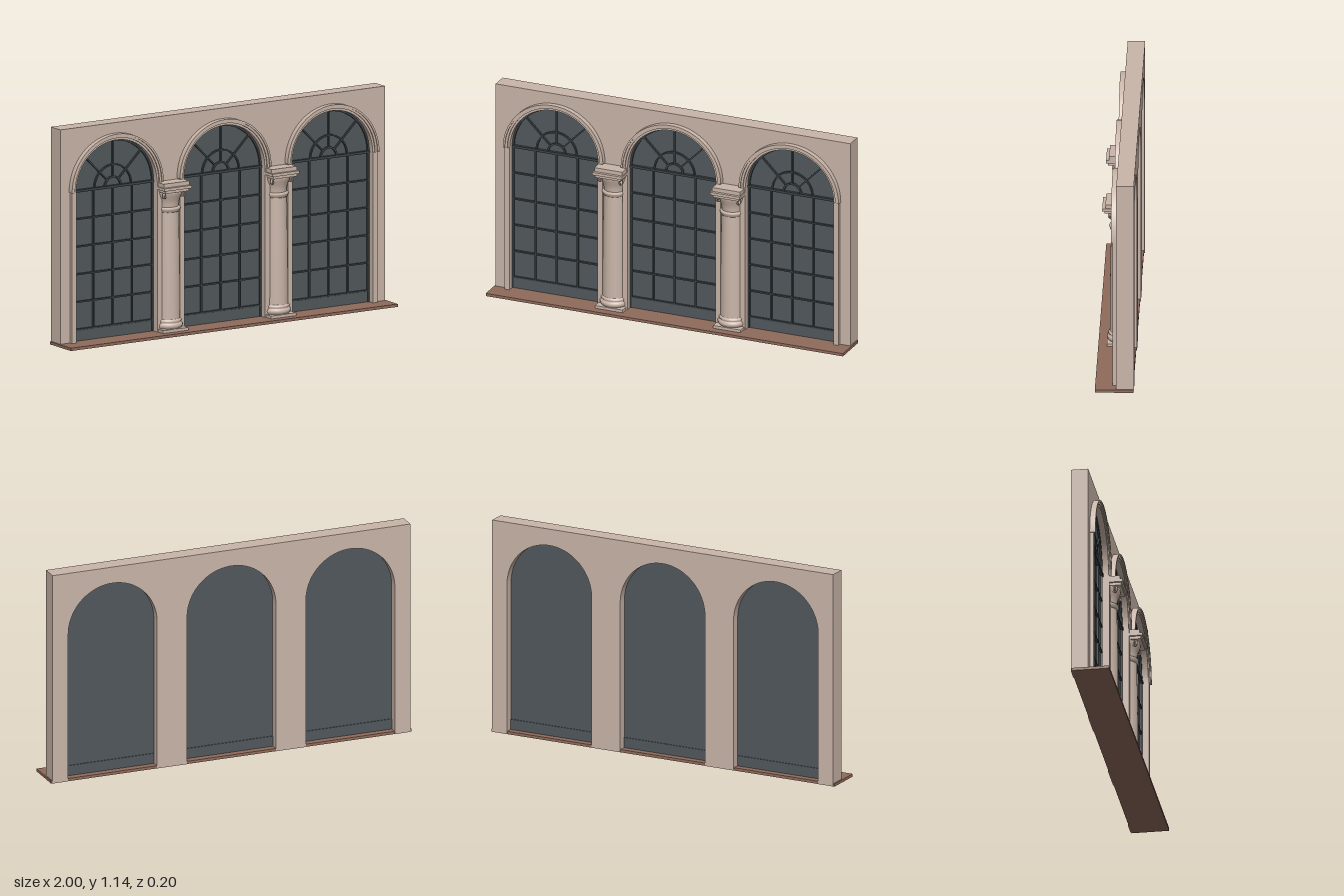
import * as THREE from 'three';
import { mergeGeometries } from 'three/addons/utils/BufferGeometryUtils.js';

const mat = (name, color) => new THREE.MeshStandardMaterial({ name, color });

// Dimensions shared by the parts
const BAYS = [-0.66, 0, 0.66];
const R = 0.247;        // opening half width and arch radius
const SPRING = 0.805;   // height where the arches begin
const FLOOR = 0.015;

function box(x0, x1, y0, y1, z0, z1) {
  return new THREE.BoxGeometry(x1 - x0, y1 - y0, z1 - z0)
    .translate((x0 + x1) / 2, (y0 + y1) / 2, (z0 + z1) / 2);
}

function extrude(shape, z0, z1) {
  return new THREE.ExtrudeGeometry(shape, { depth: z1 - z0, bevelEnabled: false, curveSegments: 32 })
    .translate(0, 0, z0);
}

// Half ring standing on the springing line
function halfRing(r0, r1, z0, z1) {
  const s = new THREE.Shape();
  s.absarc(0, 0, r1, 0, Math.PI, false);
  s.absarc(0, 0, r0, Math.PI, 0, true);
  return extrude(s, z0, z1).translate(0, SPRING, 0);
}

// Merge pieces of different kinds into one mesh
function part(name, geometries, material) {
  const plain = geometries.map(g => (g.index ? g.toNonIndexed() : g));
  const mesh = new THREE.Mesh(mergeGeometries(plain), material);
  mesh.name = name;
  return mesh;
}

// Wall outline with three arched doorways cut from the bottom
function wallGeometry() {
  const s = new THREE.Shape();
  s.moveTo(-0.993, 0.001);
  for (const x of BAYS) {
    s.lineTo(x - R, 0.001);
    s.lineTo(x - R, SPRING);
    s.absarc(x, SPRING, R, Math.PI, 0, true);
    s.lineTo(x + R, 0.001);
  }
  s.lineTo(0.993, 0.001);
  s.lineTo(0.993, 1.14);
  s.lineTo(-0.993, 1.14);
  s.closePath();
  return extrude(s, -0.1, -0.01);
}

function makeWindow(stone, glass, bars) {
  const g = new THREE.Group();
  g.name = 'archedWindow';

  // Glass pane and bottom panel
  const pane = new THREE.Shape();
  pane.moveTo(-R, FLOOR);
  pane.lineTo(R, FLOOR);
  pane.lineTo(R, SPRING);
  pane.absarc(0, SPRING, R, 0, Math.PI, false);
  pane.closePath();
  g.add(part('glass', [extrude(pane, -0.055, -0.035)], glass));
  g.add(part('bottomPanel', [box(-R, R, FLOOR, 0.07, -0.059, -0.028)], glass));

  // Glazing bars
  const grid = [];
  const w = 0.004, z0 = -0.036, z1 = -0.025;
  for (const x of [-0.118, 0, 0.118]) grid.push(box(x - w, x + w, 0.07, SPRING, z0, z1));
  for (let i = 0; i < 5; i++) {
    const y = 0.075 + i * 0.145;
    grid.push(box(-R, R, y - w, y + w, z0, z1));
  }
  for (const s of [-1, 1]) grid.push(box(s * (R - 0.005) - 0.005, s * (R - 0.005) + 0.005, FLOOR, SPRING, z0, z1));
  grid.push(box(-R, R, SPRING - 0.009, SPRING + 0.004, z0, -0.02));
  g.add(part('glazingBars', grid, bars));

  // Fanlight rings and spokes
  const fan = [halfRing(0.043, 0.053, z0, z1), halfRing(0.108, 0.116, z0, z1), halfRing(R - 0.01, R, z0, z1)];
  for (const a of [45, 90, 135]) {
    fan.push(box(0.05, R, -w, w, z0, z1)
      .rotateZ(THREE.MathUtils.degToRad(a)).translate(0, SPRING, 0));
  }
  g.add(part('fanlightBars', fan, bars));

  // Stepped arch moulding and the strips below it
  g.add(part('archMoulding', [
    halfRing(R, 0.258, -0.012, 0.006),
    halfRing(0.258, 0.27, -0.012, 0.013),
    halfRing(0.27, 0.28, -0.012, 0.019),
  ], stone));
  const strips = [];
  for (const s of [-1, 1]) {
    const a = s * R, b = s * 0.275;
    strips.push(box(Math.min(a, b), Math.max(a, b), FLOOR, SPRING, -0.012, 0.01));
  }
  g.add(part('jambStrips', strips, stone));
  return g;
}

// Spiral scroll lying in a vertical plane, facing outward along +x
function scrollGeometry() {
  const pts = [];
  for (let i = 0; i <= 24; i++) {
    const a = Math.PI * 0.6 - i * 0.42;
    const r = 0.017 - i * 0.0006;
    pts.push(new THREE.Vector3(Math.cos(a) * r, Math.sin(a) * r, 0));
  }
  return new THREE.TubeGeometry(new THREE.CatmullRomCurve3(pts), 48, 0.0035, 6)
    .scale(1, 1, 2);
}

function makeColumn(stone) {
  const g = new THREE.Group();
  g.name = 'column';
  const profile = (name, pts) => {
    const geo = new THREE.LatheGeometry(pts.map(p => new THREE.Vector2(p[0], p[1])), 32);
    g.add(part(name, [geo], stone));
  };

  // Base
  g.add(part('plinth', [box(-0.077, 0.077, FLOOR, 0.03, -0.075, 0.077)], stone));
  profile('baseMoulding', [[0.07, 0.029], [0.075, 0.036], [0.078, 0.045], [0.075, 0.054],
    [0.069, 0.057], [0.068, 0.062], [0.072, 0.066], [0.07, 0.072], [0.064, 0.078]]);

  // Tapering shaft
  profile('shaft', [[0.064, 0.07], [0.063, 0.25], [0.061, 0.42], [0.057, 0.645]]);
  profile('neckRing', [[0.056, 0.638], [0.062, 0.641], [0.063, 0.648], [0.066, 0.652],
    [0.067, 0.658], [0.064, 0.664], [0.056, 0.666]]);

  // Bell shaped capital
  profile('capitalBell', [[0.056, 0.664], [0.058, 0.685], [0.063, 0.705], [0.071, 0.725],
    [0.076, 0.74], [0.076, 0.75], [0, 0.75]]);
  const scrolls = [];
  for (let i = 0; i < 4; i++) {
    scrolls.push(scrollGeometry().translate(0.079, 0.73, 0).rotateY(Math.PI / 4 + i * Math.PI / 2));
  }
  g.add(part('capitalScrolls', scrolls, stone));
  g.add(part('abacus', [
    box(-0.072, 0.072, 0.749, 0.764, -0.06, 0.09),
    box(-0.083, 0.083, 0.764, 0.779, -0.06, 0.1),
    box(-0.078, 0.078, 0.779, 0.8, -0.06, 0.084),
  ], stone));
  return g;
}

export function createModel() {
  const stone = mat('stone', 0xc9b5a8);
  const glass = mat('darkGlass', 0x51585c);
  const bars = mat('barMetal', 0x3c4245);
  const paving = mat('paving', 0x8f6b5c);

  const model = new THREE.Group();
  model.name = 'arcadeFacade';
  model.add(part('wall', [wallGeometry()], stone));
  model.add(part('floorSlab', [box(-1, 1, 0, FLOOR, -0.096, 0.1)], paving));

  for (const x of BAYS) {
    const win = makeWindow(stone, glass, bars);
    win.position.x = x;
    model.add(win);
  }
  for (const x of [-0.33, 0.33]) {
    const column = makeColumn(stone);
    column.position.set(x, 0, -0.021);
    model.add(column);
  }
  return model;
}
